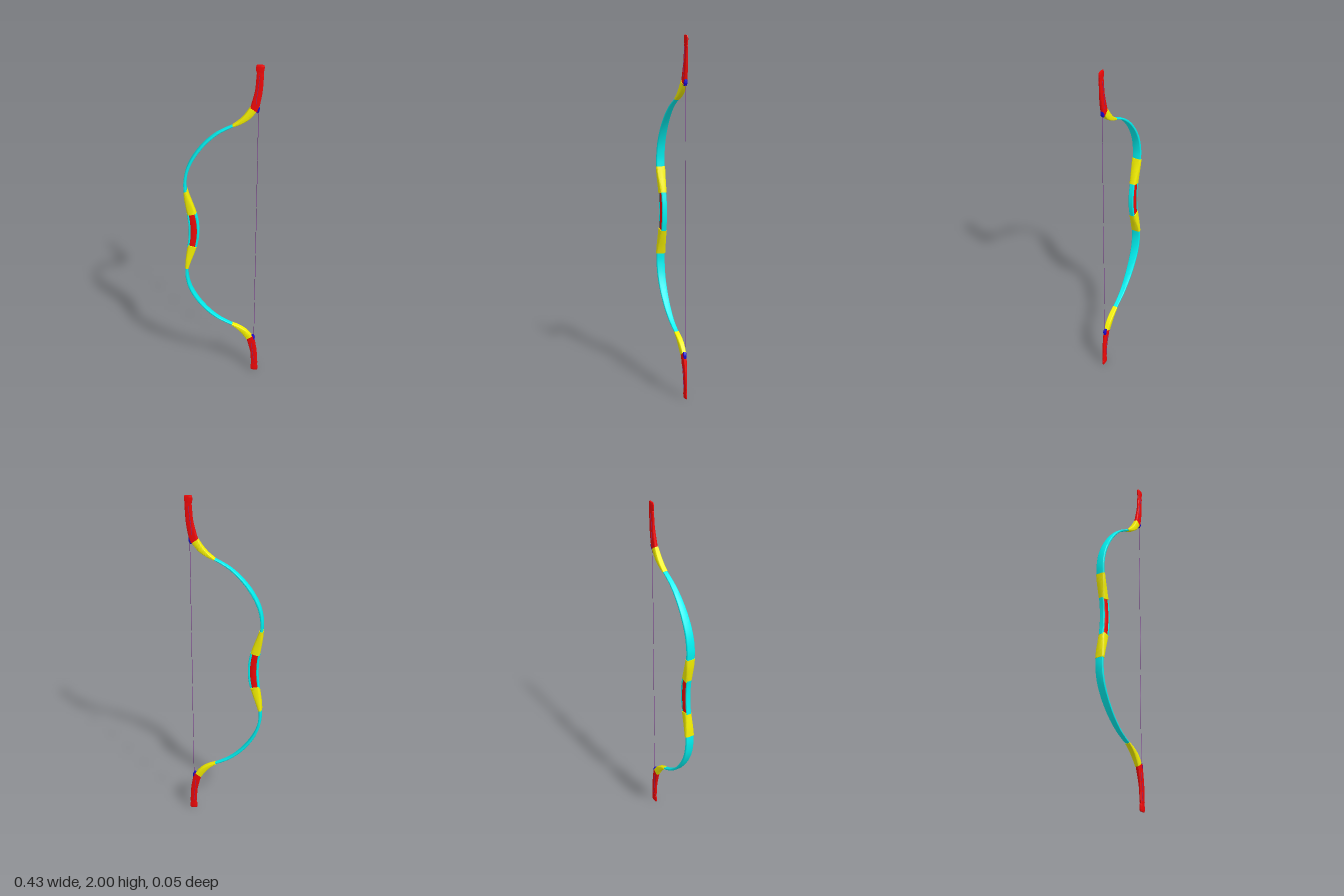
import * as THREE from 'three';
import { toCreasedNormals } from 'three/addons/utils/BufferGeometryUtils.js';

const mat = (color) => new THREE.MeshStandardMaterial({ color });
const CYAN = mat(0x00f0f0), YELLOW = mat(0xf4f000), RED = mat(0xf00808);
const BLUE = mat(0x1a08d0), STRING = mat(0x7a3090);

// Sweep a rounded-rectangle section along stations [x, y, thickness, half width in z].
function sweep(stations, steps = 24, power = 0.5, sides = 20) {
  const path = new THREE.CatmullRomCurve3(stations.map((s) => new THREE.Vector3(s[0], s[1], 0)), false, 'catmullrom');
  const size = new THREE.CatmullRomCurve3(stations.map((s) => new THREE.Vector3(s[2] / 2, s[3], 0)), false, 'catmullrom');
  const round = (v) => Math.sign(v) * Math.pow(Math.abs(v), power);
  const pos = [], idx = [];
  for (let i = 0; i <= steps; i++) {
    const p = path.getPoint(i / steps), t = path.getTangent(i / steps), s = size.getPoint(i / steps);
    for (let j = 0; j < sides; j++) {
      const a = (j / sides) * Math.PI * 2;
      const n = round(Math.cos(a)) * s.x;
      pos.push(p.x + t.y * n, p.y - t.x * n, -round(Math.sin(a)) * s.y);
    }
  }
  for (let i = 0; i < steps; i++) {
    for (let j = 0; j < sides; j++) {
      const k = (j + 1) % sides, a = i * sides, b = a + sides;
      idx.push(a + j, a + k, b + k, a + j, b + k, b + j);
    }
  }
  // end caps
  const last = steps * sides;
  for (let j = 1; j < sides - 1; j++) {
    idx.push(0, j + 1, j, last, last + j, last + j + 1);
  }
  const g = new THREE.BufferGeometry();
  g.setAttribute('position', new THREE.Float32BufferAttribute(pos, 3));
  g.setIndex(idx);
  return toCreasedNormals(g, 0.7);
}

function add(parent, name, geometry, material) {
  const m = new THREE.Mesh(geometry, material);
  m.name = name;
  parent.add(m);
  return m;
}

function tube(points, radius, steps) {
  const curve = new THREE.CatmullRomCurve3(points.map((p) => new THREE.Vector3(...p)));
  return new THREE.TubeGeometry(curve, steps, radius, 6);
}

// Upper half of the bow, from the grip wedge to the tip.
function buildHalf(name) {
  const half = new THREE.Group();
  half.name = name;

  add(half, 'gripWedge', sweep([
    [-0.17, 1.105, 0.052, 0.020], [-0.182, 1.155, 0.044, 0.022],
    [-0.194, 1.205, 0.033, 0.025], [-0.203, 1.253, 0.021, 0.027],
  ]), YELLOW);

  add(half, 'limb', sweep([
    [-0.203, 1.24, 0.016, 0.024], [-0.204, 1.31, 0.016, 0.024], [-0.188, 1.39, 0.016, 0.023],
    [-0.15, 1.47, 0.015, 0.021], [-0.095, 1.545, 0.014, 0.018], [-0.035, 1.602, 0.012, 0.015],
    [0.02, 1.637, 0.010, 0.013], [0.075, 1.664, 0.009, 0.012],
  ], 48, 0.4), CYAN);

  add(half, 'limbJoint', sweep([
    [0.055, 1.655, 0.011, 0.014], [0.095, 1.680, 0.024, 0.015],
    [0.13, 1.712, 0.036, 0.015], [0.159, 1.752, 0.042, 0.013],
  ], 24, 0.4), YELLOW);

  // stiff tip, waisted at the string nock
  add(half, 'tip', sweep([
    [0.162, 1.745, 0.046, 0.011], [0.175, 1.80, 0.043, 0.010], [0.186, 1.86, 0.039, 0.008],
    [0.190, 1.92, 0.038, 0.0065], [0.192, 1.948, 0.038, 0.006], [0.194, 1.957, 0.032, 0.0055],
    [0.191, 1.968, 0.042, 0.0055], [0.191, 1.992, 0.043, 0.005], [0.191, 2.0, 0.036, 0.004],
  ], 48, 0.45), RED);

  // pad where the string meets the tip
  add(half, 'stringPad', sweep([
    [0.176, 1.735, 0.016, 0.008], [0.180, 1.752, 0.024, 0.010], [0.184, 1.772, 0.014, 0.008],
  ], 12), BLUE);

  // string loop, one strand each side of the tip and around the nock
  add(half, 'stringLoop', tube([
    [0.185, 1.75, 0.006], [0.175, 1.80, 0.0098], [0.183, 1.88, 0.0074], [0.187, 1.94, 0.0062],
    [0.178, 1.957, 0], [0.187, 1.94, -0.0062], [0.183, 1.88, -0.0074],
    [0.175, 1.80, -0.0098], [0.185, 1.75, -0.006],
  ], 0.0014, 64), STRING);
  return half;
}

export function createModel() {
  const bow = new THREE.Group();
  bow.name = 'bow';

  // grip: curved core between a back strip and a belly strip
  const arc = (mid, end, t, w) => [
    [end, 0.89, t, w], [(mid * 3 + end) / 4, 0.945, t, w], [mid, 1, t, w],
    [(mid * 3 + end) / 4, 1.055, t, w], [end, 1.11, t, w],
  ];
  add(bow, 'gripCore', sweep(arc(-0.161, -0.171, 0.038, 0.0145), 24, 0.35), RED);
  add(bow, 'gripBackStrip', sweep(arc(-0.183, -0.192, 0.012, 0.014), 24, 0.4), CYAN);
  add(bow, 'gripBellyStrip', sweep(arc(-0.137, -0.151, 0.014, 0.014), 24, 0.4), CYAN);

  // lower half is the upper half turned over about the grip
  bow.add(buildHalf('upperHalf'));
  const lower = buildHalf('lowerHalf');
  lower.rotation.x = Math.PI;
  lower.position.y = 2;
  bow.add(lower);

  const string = add(bow, 'bowString', new THREE.CylinderGeometry(0.0013, 0.0013, 1.51, 8), STRING);
  string.position.set(0.186, 1, 0);
  return bow;
}
